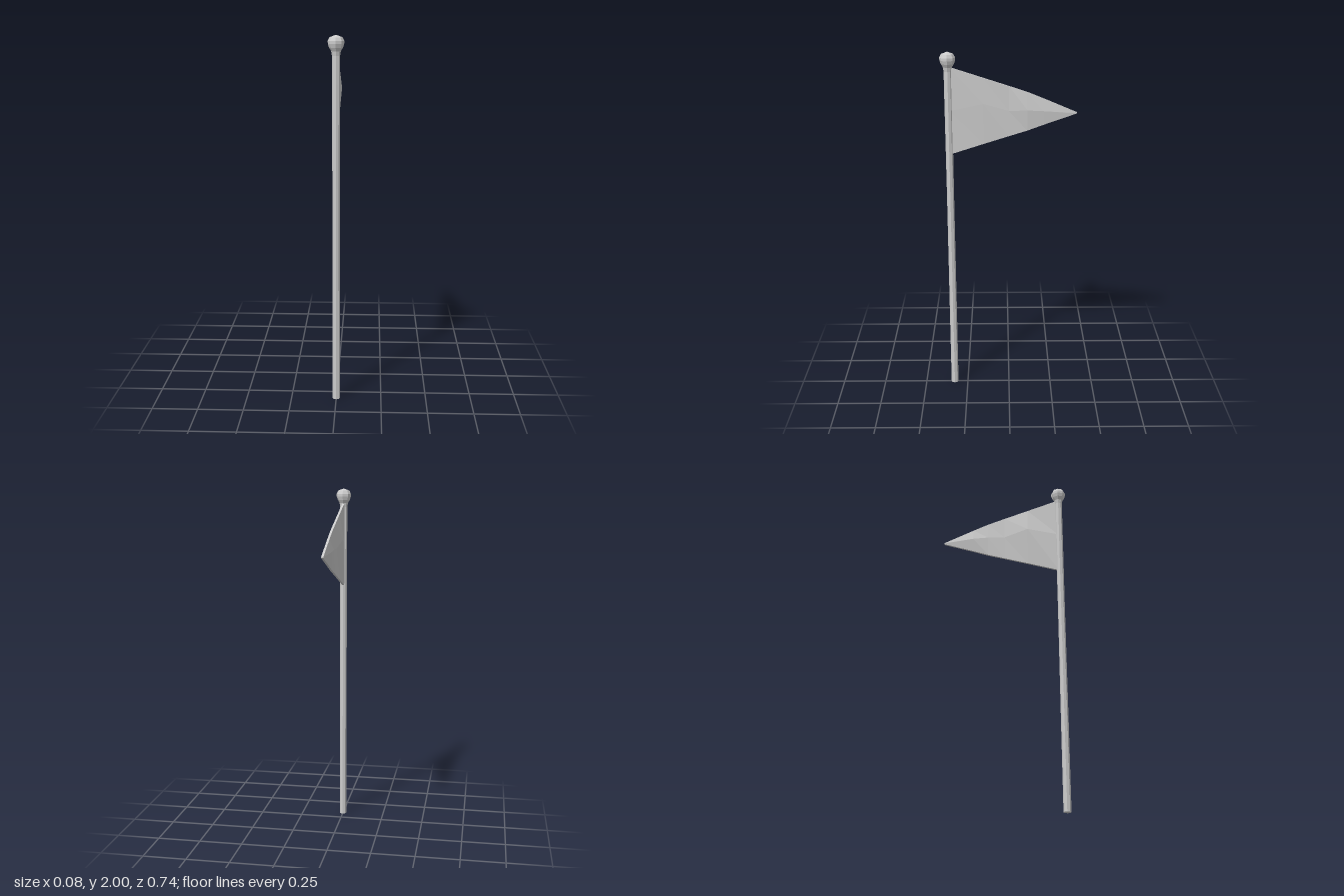
import * as THREE from 'three';

export function createModel() {
  const group = new THREE.Group();
  group.name = 'pennantOnPole';
  const grey = new THREE.MeshStandardMaterial({ color: 0xcccccc, flatShading: true });
  const poleZ = 0.328;

  const add = (name, geometry, z = 0) => {
    const mesh = new THREE.Mesh(geometry, grey);
    mesh.name = name;
    mesh.position.z = z;
    group.add(mesh);
  };
  const lathe = (points) =>
    new THREE.LatheGeometry(points.map(([r, y]) => new THREE.Vector2(r, y)), 8);

  // Slender eight-sided pole, very slightly uneven along its height
  add('pole', lathe([[0, 0], [0.021, 0], [0.021, 0.45], [0.02, 1.2], [0.021, 1.75], [0.021, 1.93]]), poleZ);

  // Faceted ball with a small flared neck
  add('finial', lathe([
    [0.021, 1.895], [0.025, 1.918], [0.036, 1.936], [0.042, 1.955],
    [0.042, 1.97], [0.033, 1.988], [0, 2],
  ]), poleZ);

  // Pennant: sections from pole to tip as
  // [z, top y, bottom y, ridge y, bulge toward -x, bulge toward +x]
  const sections = [
    [0.32, 1.918, 1.437, 1.68, 0.008, 0.006],
    [0.14, 1.86, 1.495, 1.72, 0.026, 0.011],
    [0.0, 1.815, 1.539, 1.68, 0.012, 0.008],
    [-0.1, 1.782, 1.57, 1.685, 0.015, 0.017],
    [-0.19, 1.746, 1.603, 1.68, 0.02, 0.014],
    [-0.368, 1.671, 1.665, 1.668, 0.006, 0.006],
  ];
  const edge = 0.006;
  const positions = [];
  const index = [];
  const n = 6;
  sections.forEach(([z, top, bottom, ridge, right, left], s) => {
    const loop = [[-edge, top], [edge, top], [left, ridge], [edge, bottom], [-edge, bottom], [-right, ridge]];
    loop.forEach(([x, y]) => positions.push(x, y, z));
    if (s === 0) return;
    for (let i = 0; i < n; i++) {
      const j = (i + 1) % n;
      const a = (s - 1) * n + i, b = (s - 1) * n + j;
      index.push(a, b, b + n, a, b + n, a + n);
    }
  });
  // Close both ends
  const last = (sections.length - 1) * n;
  for (let i = 1; i < n - 1; i++) {
    index.push(0, i + 1, i, last, last + i, last + i + 1);
  }
  const pennant = new THREE.BufferGeometry();
  pennant.setAttribute('position', new THREE.Float32BufferAttribute(positions, 3));
  pennant.setIndex(index);
  const faceted = pennant.toNonIndexed();
  faceted.computeVertexNormals();
  add('pennant', faceted);

  return group;
}
